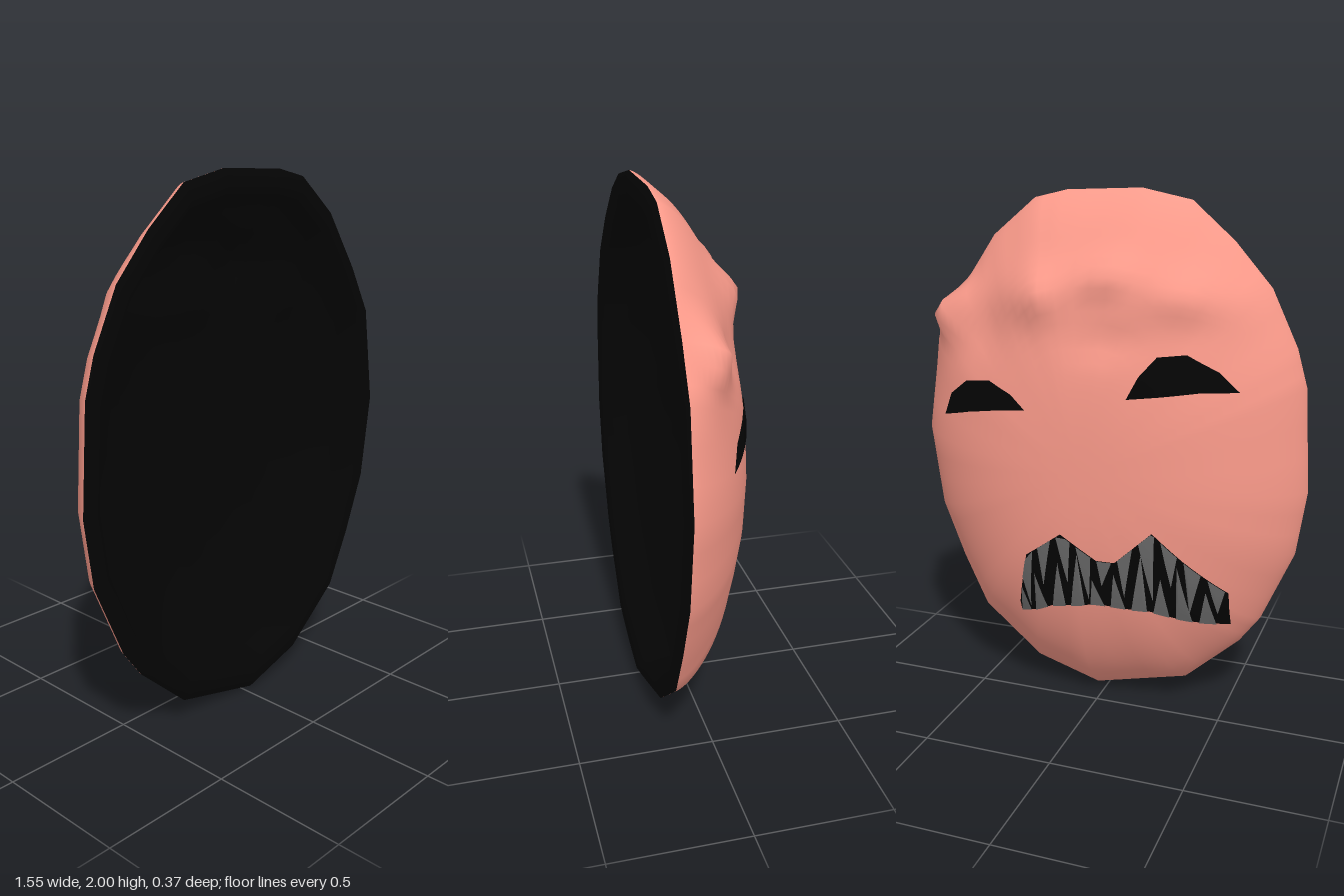
import * as THREE from 'three';

// Rim outline, counter-clockwise seen from +z
const OUTLINE = [
  [0.04, 0], [0.3, 0.08], [0.54, 0.28], [0.64, 0.49], [0.73, 0.72], [0.775, 1.05],
  [0.72, 1.42], [0.62, 1.6], [0.47, 1.82], [0.3, 1.96], [0.17, 1.99], [-0.12, 2],
  [-0.31, 1.96], [-0.47, 1.82], [-0.61, 1.66], [-0.71, 1.45], [-0.75, 1.31],
  [-0.775, 0.92], [-0.74, 0.67], [-0.62, 0.39], [-0.54, 0.28], [-0.33, 0.09],
];
const CY = 1;
const lerp = THREE.MathUtils.lerp;

// Forehead and brow bumps: x, y, width, height, amount
const BUMPS = [
  [-0.38, 1.65, 0.17, 0.09, 0.06], [0.2, 1.64, 0.13, 0.09, 0.065],
  [-0.06, 1.71, 0.11, 0.07, 0.055], [0.6, 1.55, 0.1, 0.08, 0.06],
  [-0.08, 1.48, 0.12, 0.06, -0.02], [0.42, 1.48, 0.08, 0.07, -0.02],
];
const bell = (x, y, [bx, by, w, h, a]) => a * Math.exp(-(((x - bx) / w) ** 2) - ((y - by) / h) ** 2);

// 0 at the middle of the face, 1 on the rim
function rimFraction(x, y) {
  let t = 0;
  OUTLINE.forEach(([ax, ay], i) => {
    const [bx, by] = OUTLINE[(i + 1) % OUTLINE.length];
    const nx = by - ay, ny = ax - bx;
    t = Math.max(t, (x * nx + (y - CY) * ny) / (ax * nx + (ay - CY) * ny));
  });
  return Math.min(t, 1);
}

// Depth of the domed face
function faceZ(x, y, t = rimFraction(x, y)) {
  const dome = 0.15 - 0.335 * Math.pow(Math.max(0, 1 - Math.pow(t, 2.5)), 0.72);
  const fade = 1 - Math.pow(t, 8);
  return BUMPS.reduce((z, b) => z - bell(x, y, b) * fade, dome);
}

// Skin of concentric rings; zAt gives the depth of each ring point
function ringSkin(fractions, zAt, facesBack) {
  const rim = [];
  OUTLINE.forEach(([ax, ay], i) => {
    const [bx, by] = OUTLINE[(i + 1) % OUTLINE.length];
    for (let k = 0; k < 3; k++) rim.push([lerp(ax, bx, k / 3), lerp(ay, by, k / 3)]);
  });
  const n = rim.length, pos = [0, CY, zAt(0, CY, 0)], index = [];
  const tri = (a, b, c) => (facesBack ? index.push(a, c, b) : index.push(a, b, c));
  fractions.forEach((t, r) => {
    for (let i = 0; i < n; i++) {
      const x = rim[i][0] * t, y = CY + (rim[i][1] - CY) * t;
      // the left temple swells out sideways
      const swell = facesBack ? bell(x, y, [0.61, 1.53, 0.11, 0.09, 0.13]) * (1 - Math.pow(t, 14)) : 0;
      pos.push(x + swell, y + swell * 0.25, zAt(x, y, t));
      const j = (i + 1) % n, a = 1 + r * n;
      if (r === 0) tri(0, a + i, a + j);
      else {
        tri(a - n + i, a + i, a + j);
        tri(a - n + i, a + j, a - n + j);
      }
    }
  });
  return finish(pos, index);
}

function finish(pos, index) {
  const g = new THREE.BufferGeometry();
  g.setAttribute('position', new THREE.Float32BufferAttribute(pos, 3));
  g.setIndex(index);
  g.computeVertexNormals();
  return g;
}

// Height on a polyline ordered by rising x
function heightOn(line, x) {
  for (let i = 1; i < line.length; i++) {
    const [ax, ay] = line[i - 1], [bx, by] = line[i];
    if (x <= bx + 1e-9) return lerp(ay, by, (x - ax) / (bx - ax));
  }
  return line[line.length - 1][1];
}

// Patch that follows the face between a lower and an upper polyline
function facePatch(low, high, lift, steps, rows) {
  const x0 = low[0][0], x1 = low[low.length - 1][0];
  const xs = [...low, ...high].map((p) => p[0]);
  for (let i = 0; i <= steps; i++) xs.push(lerp(x0, x1, i / steps));
  const cols = [...new Set(xs.map((x) => +x.toFixed(4)))].sort((a, b) => a - b);
  const pos = [], index = [];
  cols.forEach((x, c) => {
    for (let r = 0; r <= rows; r++) {
      const y = lerp(heightOn(low, x), heightOn(high, x), r / rows);
      pos.push(x, y, faceZ(x, y) - lift);
      if (c && r) {
        const d = c * (rows + 1) + r, b = d - rows - 1;
        index.push(b - 1, b, d, b - 1, d, d - 1);
      }
    }
  });
  return finish(pos, index);
}

export function createModel() {
  const group = new THREE.Group();
  const skin = new THREE.MeshStandardMaterial({ color: 0xfa9a8a });
  const black = new THREE.MeshStandardMaterial({ color: 0x040404 });
  const blackThin = new THREE.MeshStandardMaterial({ color: 0x040404, side: THREE.DoubleSide });
  const grey = new THREE.MeshStandardMaterial({ color: 0x6a6a6a, side: THREE.DoubleSide });
  const add = (name, geometry, material, parent = group) => {
    const mesh = new THREE.Mesh(geometry, material);
    mesh.name = name;
    parent.add(mesh);
  };

  // Face, with rings closer together towards the rim
  const rings = Array.from({ length: 30 }, (_, i) => Math.sin(((i + 1) / 30) * Math.PI / 2));
  add('face', ringSkin(rings, faceZ, true), skin);

  // Hollow black lining and its rolled, slightly uneven rim
  const inner = rings.filter((t) => t < 0.9);
  add('lining', ringSkin([...inner, 0.91, 0.95, 1], (x, y, t) => {
    if (t > 0.99) return 0.15;
    if (t > 0.94) return 0.178 + 0.008 * Math.cos(x * 4) * (1.2 - y * 0.6);
    if (t > 0.905) return 0.15;
    return faceZ(x, y, t) + 0.035;
  }, false), black);

  // Eye openings
  add('leftEye', facePatch(
    [[0.22, 1.22], [0.34, 1.205], [0.47, 1.18], [0.62, 1.14]],
    [[0.22, 1.22], [0.28, 1.27], [0.38, 1.31], [0.49, 1.295], [0.58, 1.23], [0.62, 1.14]],
    0.005, 24, 6), blackThin);
  add('rightEye', facePatch(
    [[-0.55, 1.32], [-0.42, 1.32], [-0.3, 1.305], [-0.17, 1.29]],
    [[-0.55, 1.32], [-0.48, 1.39], [-0.37, 1.45], [-0.27, 1.44], [-0.21, 1.37], [-0.17, 1.29]],
    0.005, 24, 6), blackThin);

  // Crooked mouth opening
  const low = [[-0.53, 0.4], [-0.38, 0.43], [-0.25, 0.47], [-0.05, 0.48], [0.14, 0.44], [0.22, 0.4], [0.29, 0.38]];
  const high = [[-0.53, 0.55], [-0.38, 0.69], [-0.27, 0.8], [-0.13, 0.67], [-0.06, 0.67], [0.08, 0.76], [0.23, 0.65], [0.29, 0.42]];
  add('mouth', facePatch(low, high, 0.005, 40, 10), blackThin);

  // Jagged teeth, upper and lower rows interleaved
  const teeth = new THREE.Group();
  teeth.name = 'teeth';
  group.add(teeth);
  const count = 10, width = 0.8 / count;
  for (let i = 0; i < count; i++) {
    const reach = 0.72 + 0.2 * Math.sin(i * 2.3);
    const lean = 0.5 + 0.3 * Math.sin(i * 1.7);
    for (const upper of [true, false]) {
      const a = -0.52 + i * width + (upper ? 0 : width * 0.45);
      const b = Math.min(a + width * 0.72, 0.285), m = lerp(a, b, lean);
      const from = upper ? high : low, to = upper ? low : high;
      const root = [a, m, b].map((x) => [x, heightOn(from, x)]);
      const tip = root.map((p) => [...p]);
      tip[1][1] = lerp(heightOn(from, m), heightOn(to, m), reach);
      const geometry = upper ? facePatch(tip, root, 0.01, 4, 6) : facePatch(root, tip, 0.012, 4, 6);
      add(upper ? 'upperTooth' : 'lowerTooth', geometry, grey, teeth);
    }
  }
  return group;
}
